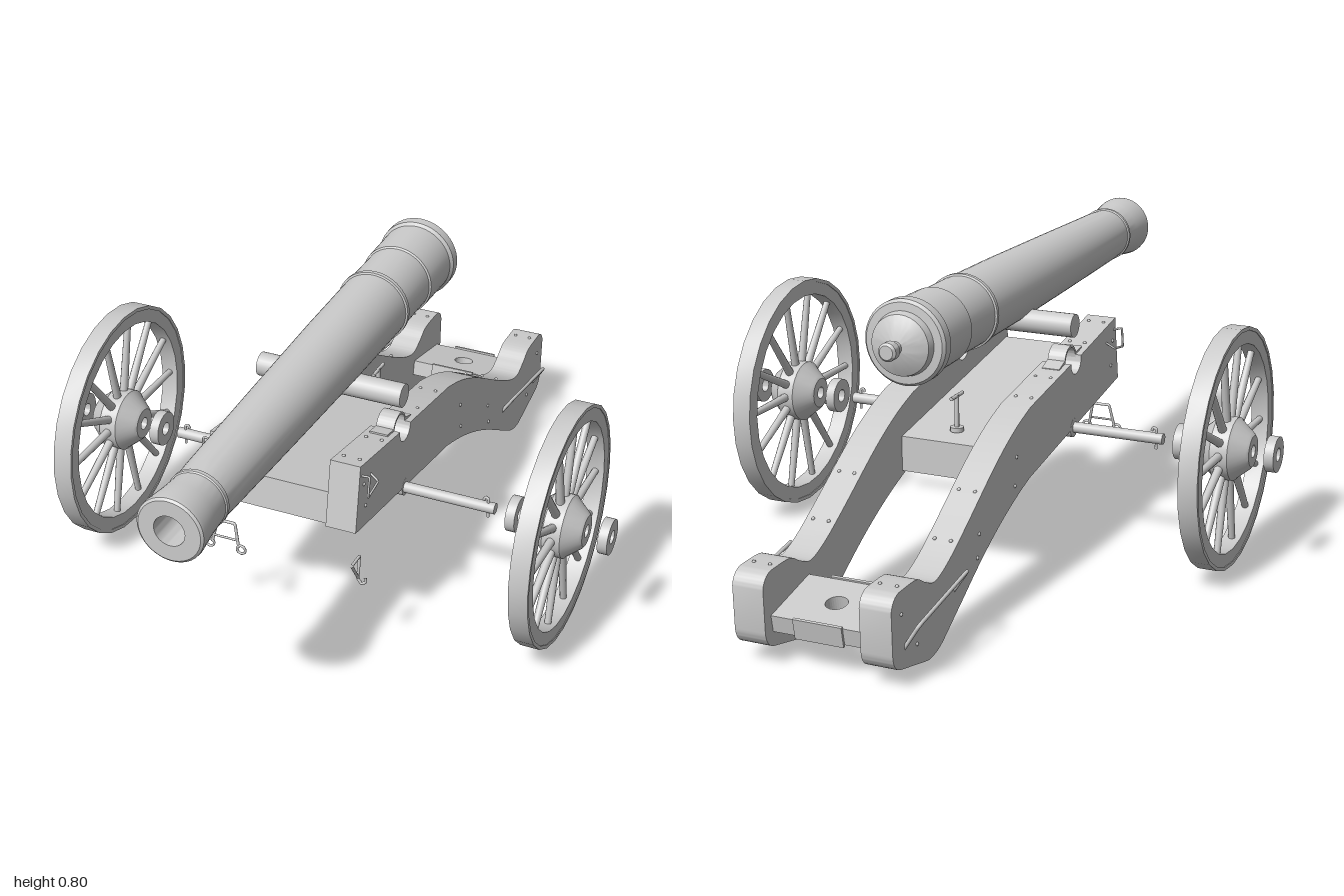
import * as THREE from 'three';
import { toCreasedNormals } from 'three/addons/utils/BufferGeometryUtils.js';

const material = new THREE.MeshStandardMaterial({ color: 0xcccccc });
const V = (x, y, z) => new THREE.Vector3(x, y, z);

function add(parent, name, geometry, x = 0, y = 0, z = 0) {
  const mesh = new THREE.Mesh(geometry, material);
  mesh.name = name;
  mesh.position.set(x, y, z);
  parent.add(mesh);
  return mesh;
}

// Turned part: points are [radius, position along the axis]
function turned(points, axis, segments = 40) {
  const g = new THREE.LatheGeometry(points.map(p => new THREE.Vector2(p[0], p[1])), segments);
  if (axis === 'z') g.rotateX(Math.PI / 2);
  if (axis === 'x') g.rotateZ(-Math.PI / 2);
  return toCreasedNormals(g, 0.5);
}

const ring = (inner, outer, half, segments) => turned(
  [[inner, -half], [outer, -half], [outer, half], [inner, half], [inner, -half]], 'x', segments);

function rod(r, length, axis, segments = 20) {
  const g = new THREE.CylinderGeometry(r, r, length, segments);
  if (axis === 'x') g.rotateZ(Math.PI / 2);
  if (axis === 'z') g.rotateX(Math.PI / 2);
  return g;
}

// Bent iron bar following straight runs between points
function bar(points, r = 0.004) {
  const path = new THREE.CurvePath();
  for (let i = 1; i < points.length; i++) path.add(new THREE.LineCurve3(points[i - 1], points[i]));
  const smooth = new THREE.CatmullRomCurve3(path.getSpacedPoints(points.length * 6), false, 'centripetal');
  return new THREE.TubeGeometry(smooth, points.length * 10, r, 8);
}

// Side outline (z, y) given a thickness centred on x = 0
function slab(shape, width) {
  const g = new THREE.ExtrudeGeometry(shape, { depth: width, bevelEnabled: false, curveSegments: 12 });
  g.rotateY(-Math.PI / 2);
  g.translate(width / 2, 0, 0);
  return toCreasedNormals(g, 0.5);
}

function polygon(points) {
  return new THREE.Shape(points.map(p => new THREE.Vector2(p[0], p[1])));
}

function buildBarrel() {
  const barrel = new THREE.Group();
  barrel.name = 'barrel';
  add(barrel, 'gunTube', turned([
    [0, -0.6], [0.018, -0.6], [0.024, -0.594], [0.024, -0.572], [0.017, -0.565], [0.017, -0.55],
    [0.035, -0.545], [0.06, -0.535], [0.078, -0.525], [0.083, -0.505], [0.104, -0.503], [0.111, -0.495],
    [0.111, -0.467], [0.104, -0.458], [0.102, -0.325], [0.097, -0.322], [0.097, -0.172], [0.102, -0.17],
    [0.102, -0.158], [0.097, -0.156], [0.094, 0.1], [0.086, 0.45], [0.077, 0.8], [0.074, 0.85],
    [0.078, 0.852], [0.078, 0.862], [0.075, 0.865], [0.079, 0.92], [0.087, 0.985], [0.086, 0.995],
    [0.08, 1], [0.04, 1], [0.04, 0.4], [0, 0.4],
  ], 'z', 48), 0, 0.69, 0);
  add(barrel, 'trunnions', rod(0.032, 0.41, 'x', 24), 0, 0.608, 0.11);
  return barrel;
}

function cheekGeometry() {
  const s = new THREE.Shape();
  s.moveTo(0.43, 0.38);
  s.lineTo(0.4, 0.562);
  s.lineTo(0.145, 0.518);
  s.absarc(0.11, 0.51, 0.035, 0, Math.PI, true);
  s.lineTo(-0.2, 0.468);
  s.splineThru([[-0.3, 0.435], [-0.42, 0.378], [-0.6, 0.272], [-0.7, 0.218], [-0.77, 0.196],
    [-0.82, 0.212], [-0.87, 0.236], [-0.96, 0.238]].map(p => new THREE.Vector2(...p)));
  s.quadraticCurveTo(-0.995, 0.232, -1, 0.2);
  s.lineTo(-0.995, 0.09);
  s.quadraticCurveTo(-0.99, 0.05, -0.95, 0.042);
  s.lineTo(-0.81, 0.008);
  s.quadraticCurveTo(-0.76, 0.006, -0.72, 0.03);
  s.lineTo(-0.6, 0.1);
  s.quadraticCurveTo(-0.4, 0.225, -0.2, 0.277);
  s.closePath();
  return slab(s, 0.083);
}

function buildCarriage() {
  const carriage = new THREE.Group();
  carriage.name = 'carriage';
  const cheek = cheekGeometry();
  // Arched strap above the trunnion seat
  const strap = polygon([[0.19, 0.526], [0.19, 0.531], [0.152, 0.525]]);
  strap.absarc(0.11, 0.51, 0.041, 0.35, Math.PI - 0.2, false);
  strap.lineTo(0.03, 0.505);
  strap.lineTo(0.03, 0.498);
  strap.lineTo(0.075, 0.506);
  strap.absarc(0.11, 0.51, 0.035, Math.PI, 0, true);
  const strapGeometry = slab(strap, 0.05);
  const bolt = new THREE.SphereGeometry(0.005, 8, 6);

  for (const side of [-1, 1]) {
    const x = side * 0.168;
    add(carriage, 'cheek', cheek, x);
    add(carriage, 'trunnionStrap', strapGeometry, x);
    // Bolt heads on top and on the outer face
    for (const [z, y] of [[0.36, 0.555], [0.22, 0.531], [-0.02, 0.494], [-0.15, 0.475], [-0.5, 0.331], [-0.64, 0.25], [-0.93, 0.238]])
      for (const dx of [-0.022, 0.022]) add(carriage, 'topBolt', bolt, x + dx, y, z);
    for (const [z, y] of [[0.38, 0.5], [0.37, 0.43], [-0.29, 0.36], [-0.3, 0.285], [-0.52, 0.23], [-0.53, 0.17], [-0.87, 0.075], [-0.95, 0.18]])
      add(carriage, 'sideBolt', bolt, side * 0.2095, y, z);
    // Lifting handle on the trail
    add(carriage, 'trailHandle', bar([V(side * 0.205, 0.13, -0.66), V(side * 0.243, 0.188, -0.66),
      V(side * 0.243, 0.148, -0.925), V(side * 0.205, 0.085, -0.93)], 0.005));
    // Hook bracket near the front of the cheek
    add(carriage, 'sideHook', bar([V(side * 0.208, 0.53, 0.39), V(side * 0.232, 0.535, 0.395), V(side * 0.232, 0.48, 0.405),
      V(side * 0.232, 0.49, 0.34), V(side * 0.208, 0.505, 0.335)], 0.003));
  }

  // Bed between the cheeks
  add(carriage, 'bed', slab(polygon([[0.415, 0.378], [0.405, 0.468], [-0.27, 0.365], [-0.27, 0.27], [-0.2, 0.277]]), 0.256));

  // Trail transom with a towing hole
  const plate = polygon([[-0.128, -0.095], [0.128, -0.095], [0.128, 0.095], [-0.128, 0.095]]);
  plate.holes.push(new THREE.Path().absarc(0, 0, 0.028, 0, Math.PI * 2));
  const transom = add(carriage, 'trailTransom', new THREE.ExtrudeGeometry(plate, { depth: 0.045, bevelEnabled: false, curveSegments: 16 }), 0, 0.1, -0.865);
  transom.rotation.x = -Math.PI / 2 - 0.2;
  // Iron bands across the transom
  for (const end of [-1, 1]) {
    const band = add(carriage, 'transomBand', new THREE.BoxGeometry(0.13, 0.055, 0.008), 0, 0.122 + end * 0.019, -0.869 + end * 0.096);
    band.rotation.x = -0.2;
  }

  // Elevating screw with a cross handle
  add(carriage, 'elevatingScrew', rod(0.006, 0.16, 'y', 12), 0, 0.395, -0.2);
  add(carriage, 'screwHandle', rod(0.005, 0.07, 'z', 10), 0, 0.472, -0.2);
  add(carriage, 'screwCollar', rod(0.018, 0.012, 'y', 16), 0, 0.382, -0.2);

  // Axle with its thicker middle and end pins
  add(carriage, 'axle', rod(0.015, 0.93, 'x'), 0, 0.325, 0.105);
  add(carriage, 'axleBed', rod(0.026, 0.42, 'x', 24), 0, 0.325, 0.1);
  for (const side of [-1, 1]) add(carriage, 'linchpin', bar([V(side * 0.445, 0.295, 0.105), V(side * 0.445, 0.35, 0.105),
    V(side * 0.437, 0.355, 0.105), V(side * 0.432, 0.345, 0.105)], 0.004));

  // Loose iron frames below the front of the cheeks
  add(carriage, 'looseFrame', bar([V(-0.205, 0.235, 0.42), V(-0.192, 0.3, 0.41), V(-0.142, 0.3, 0.41), V(-0.128, 0.235, 0.42)]));
  add(carriage, 'frameTie', bar([V(-0.2, 0.255, 0.418), V(-0.133, 0.255, 0.418)], 0.003));
  for (const x of [-0.212, -0.121]) add(carriage, 'frameEye', new THREE.TorusGeometry(0.012, 0.0035, 8, 16), x, 0.23, 0.42);
  add(carriage, 'looseHook', bar([V(0.212, 0.3, 0.46), V(0.212, 0.3, 0.41), V(0.212, 0.235, 0.42), V(0.222, 0.222, 0.42),
    V(0.234, 0.23, 0.42), V(0.232, 0.245, 0.42)]));
  add(carriage, 'looseHookBrace', bar([V(0.212, 0.3, 0.46), V(0.212, 0.24, 0.42)]));
  return carriage;
}

function buildWheel(side) {
  const wheel = new THREE.Group();
  wheel.name = side > 0 ? 'leftWheel' : 'rightWheel';
  wheel.position.set(side * 0.645, 0.325, 0.105);
  add(wheel, 'rim', ring(0.28, 0.32, 0.024, 28));
  add(wheel, 'tire', ring(0.315, 0.325, 0.026, 28));
  add(wheel, 'hub', turned([[0.017, -0.07], [0.042, -0.07], [0.05, -0.064], [0.078, -0.03], [0.085, -0.024],
    [0.085, 0.024], [0.078, 0.03], [0.05, 0.064], [0.042, 0.07], [0.017, 0.07], [0.017, -0.07]], 'x', 28));
  const spoke = new THREE.CylinderGeometry(0.009, 0.012, 0.22, 10);
  spoke.translate(0, 0.18, 0);
  for (let i = 0; i < 14; i++) add(wheel, 'spoke', spoke).rotation.x = (i + 0.5) * Math.PI * 2 / 14;
  // Washers set apart on either side of the hub
  for (const x of [-0.125, 0.125]) add(wheel, 'washer', ring(0.018, 0.048, 0.013, 28), x);
  return wheel;
}

export function createModel() {
  const model = new THREE.Group();
  model.name = 'fieldCannon';
  model.add(buildBarrel(), buildCarriage(), buildWheel(1), buildWheel(-1));
  return model;
}
